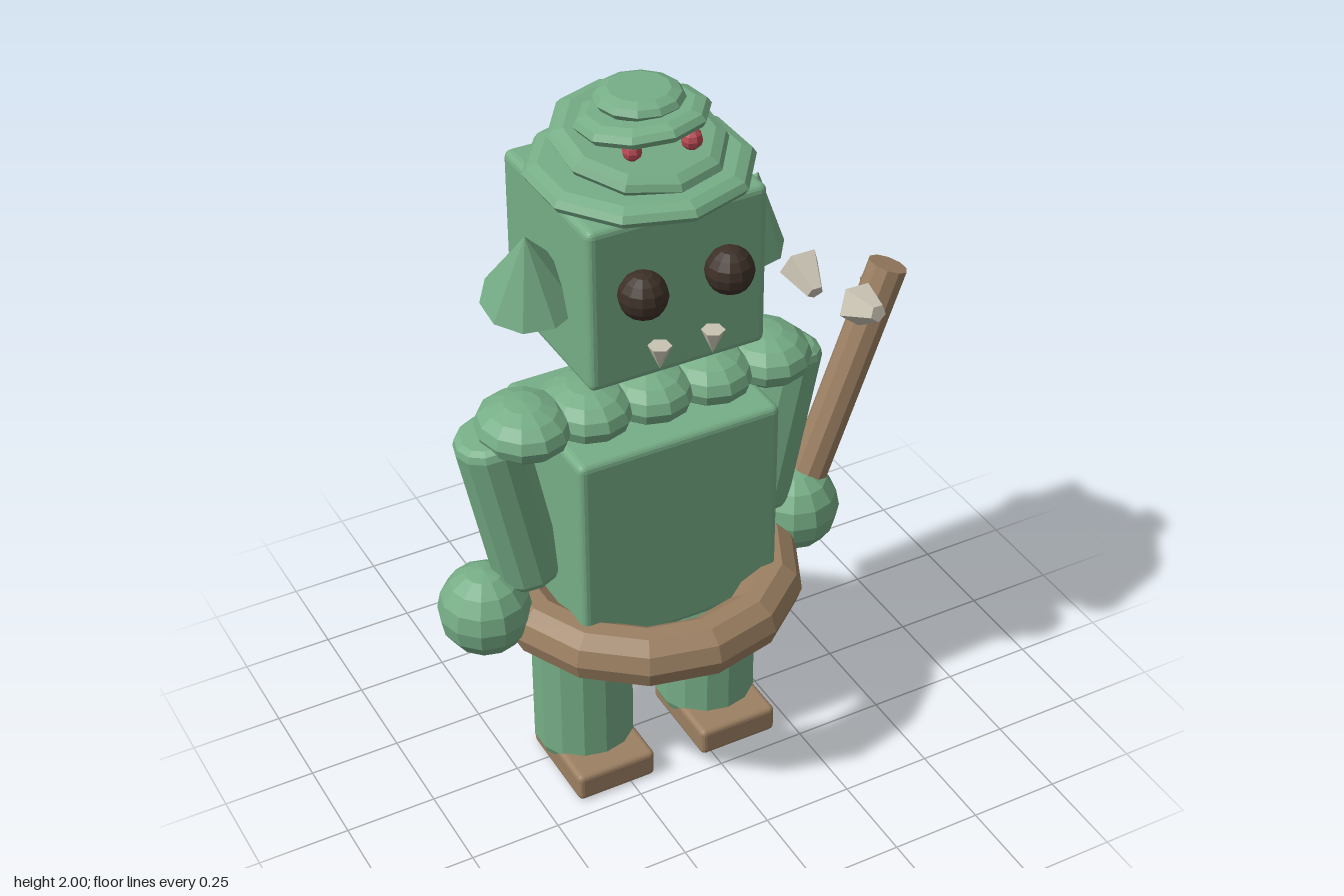
import * as THREE from 'three';
import { RoundedBoxGeometry } from 'three/addons/geometries/RoundedBoxGeometry.js';

const mat = (color) => new THREE.MeshStandardMaterial({ color, flatShading: true });
const V = (x, y, z) => new THREE.Vector3(x, y, z);
const UP = V(0, 1, 0);

export function createModel() {
  const model = new THREE.Group();
  model.name = 'goblin';
  // everything is built around the body's centre line, which sits left of the club
  const body = new THREE.Group();
  body.name = 'figure';
  body.position.x = -0.105;
  model.add(body);

  const green = mat(0x76ad86), brown = mat(0x9c8062), dark = mat(0x3d3028);
  const bone = mat(0xc9c3b3), red = mat(0xb84a54);

  function add(name, geometry, material, x, y, z) {
    const mesh = new THREE.Mesh(geometry, material);
    mesh.name = name;
    mesh.position.set(x, y, z);
    body.add(mesh);
    return mesh;
  }
  const box = (w, h, d, r) => new RoundedBoxGeometry(w, h, d, 2, r);

  // upright limb with bevelled ends, centred on its origin
  function limb(r, h, sides, bevel) {
    const p = [[0, -h / 2], [r - bevel, -h / 2], [r - bevel * 0.3, -h / 2 + bevel * 0.3], [r, -h / 2 + bevel]];
    const all = [...p, ...p.map(([a, b]) => [a, -b]).reverse()];
    return new THREE.LatheGeometry(all.map(([a, b]) => new THREE.Vector2(a, b)), sides);
  }

  // place a mesh so its long axis runs from a to b
  function between(name, a, b, geometry, material) {
    const mid = a.clone().add(b).multiplyScalar(0.5);
    const mesh = add(name, geometry, material, mid.x, mid.y, mid.z);
    mesh.quaternion.setFromUnitVectors(UP, b.clone().sub(a).normalize());
    return mesh;
  }

  // flat disc with a rounded rim, used for the coiled hat
  function disc(r, h, sides) {
    const e = h / 2;
    const p = [[0, -e], [r - h * 0.7, -e], [r - h * 0.2, -e * 0.6], [r, 0], [r - h * 0.2, e * 0.6], [r - h * 0.7, e], [0, e]];
    return new THREE.LatheGeometry(p.map(([a, b]) => new THREE.Vector2(a, b)), sides);
  }

  // torso and head
  add('torso', box(0.57, 0.6, 0.43, 0.02), green, 0, 0.82, 0);
  add('head', box(0.485, 0.45, 0.46, 0.02), green, 0, 1.545, -0.03);

  // belt
  const belt = add('belt', new THREE.TorusGeometry(0.349, 0.078, 10, 14), brown, 0, 0.543, 0);
  belt.rotation.set(Math.PI / 2, 0, Math.PI / 2);

  // collar of overlapping beads across the shoulders
  for (let i = 0; i < 5; i++) {
    const bead = add('collarBead', new THREE.SphereGeometry(1, 12, 8), green, (i - 2) * 0.172, 1.155, 0.022);
    bead.scale.set(0.122, 0.074, 0.137);
  }

  // paired parts
  for (const [s, side] of [[1, 'left'], [-1, 'right']]) {
    add(side + 'Leg', limb(0.138, 0.5, 14, 0.035), green, s * 0.189, 0.29, 0);
    add(side + 'Foot', box(0.23, 0.083, 0.285, 0.015), brown, s * 0.188, 0.0415, 0.058);
    between(side + 'Arm', V(s * 0.335, 0.67, 0), V(s * 0.433, 1.15, 0), limb(0.094, 0.485, 12, 0.025), green);
    add(side + 'Hand', new THREE.SphereGeometry(0.125, 12, 8), green, s * 0.463, 0.6, 0);
    add(side + 'Eye', new THREE.SphereGeometry(0.062, 12, 8), dark, s * 0.117, 1.588, 0.235);
    const tooth = add(side + 'Tooth', new THREE.ConeGeometry(0.03, 0.068, 6), bone, s * 0.073, 1.397, 0.235);
    tooth.rotation.x = Math.PI;
    between(side + 'Ear', V(s * 0.285, 1.495, -0.027), V(s * 0.318, 1.69, 0.018),
      new THREE.ConeGeometry(0.128, 0.205, 10), green);
    add(side + 'Berry', new THREE.SphereGeometry(s > 0 ? 0.028 : 0.025, 8, 6), red,
      s * 0.075, 1.9, s > 0 ? 0.12 : 0.105);
  }

  // coiled hat: radius, thickness, height, z offset, tilt x, tilt z, sides
  [
    [0.286, 0.055, 1.793, 0, 0, 0, 10],
    [0.222, 0.052, 1.865, -0.005, 0.19, -0.05, 10],
    [0.168, 0.052, 1.932, 0.015, -0.12, 0.06, 10],
    [0.112, 0.05, 1.975, 0, 0, 0, 12],
  ].forEach(([r, h, y, z, rx, rz, sides]) => {
    const coil = add('hatCoil', disc(r, h, sides), green, 0, y, z);
    coil.rotation.set(rx, 0, rz);
  });

  // club with loose stone spikes round its tip
  between('club', V(0.463, 0.58, 0), V(0.73, 1.29, 0), new THREE.CylinderGeometry(0.054, 0.054, 0.758, 10), brown);
  const spike = (a, b, r) => between('clubSpike', a, b,
    new THREE.CylinderGeometry(r * 0.4, r, a.distanceTo(b), 5), bone);
  spike(V(0.53, 1.29, -0.115), V(0.525, 1.25, -0.025), 0.058);
  spike(V(0.585, 1.26, 0.085), V(0.59, 1.28, 0.175), 0.06);
  spike(V(0.72, 1.205, -0.035), V(0.745, 1.215, -0.09), 0.058).scale.set(1, 1, 0.7);

  return model;
}
